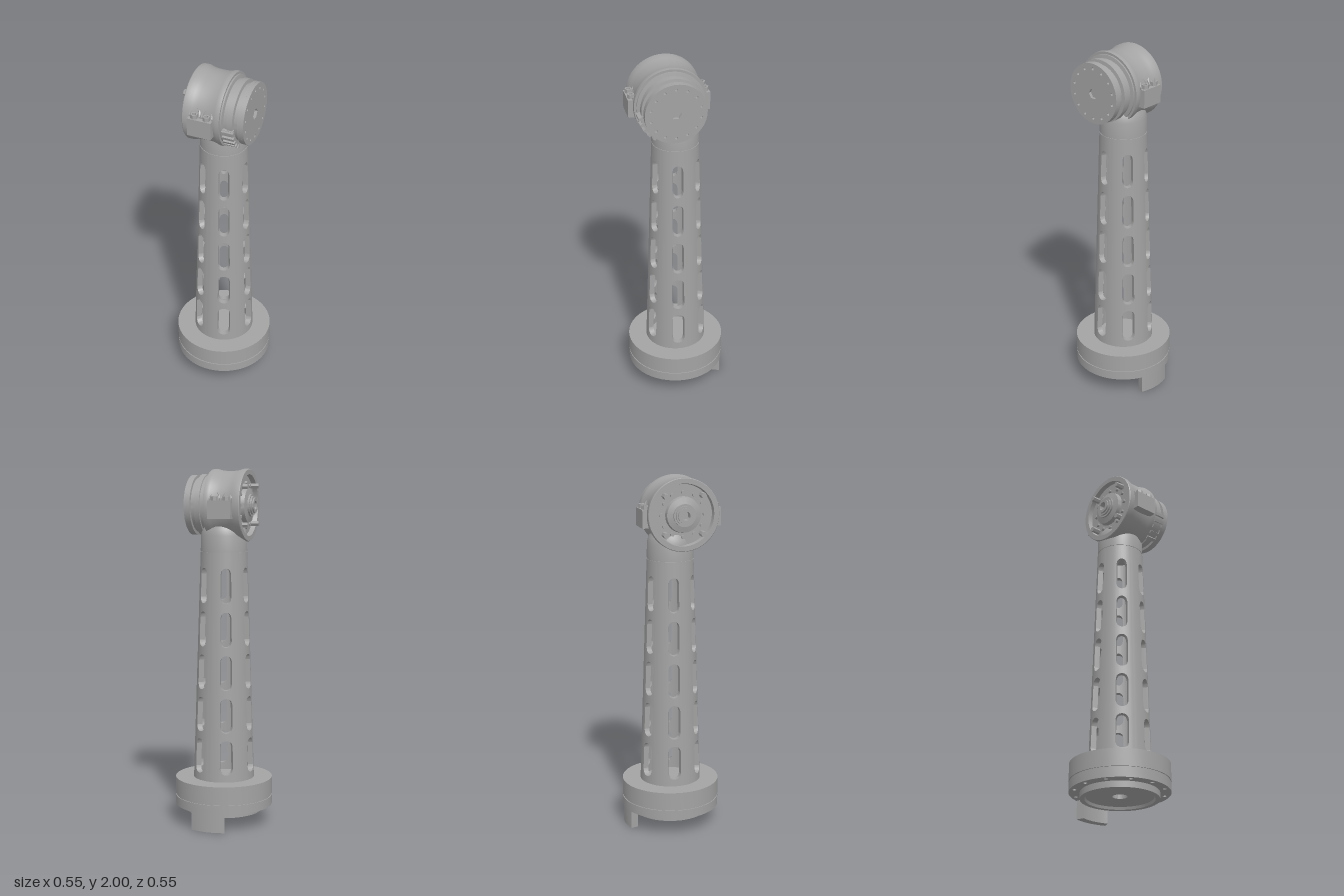
import * as THREE from 'three';
import { mergeGeometries, toCreasedNormals } from 'three/addons/utils/BufferGeometryUtils.js';

const grey = new THREE.MeshStandardMaterial({ name: 'castGrey', color: 0xa3a3a3 });

function add(parent, name, geo, x = 0, y = 0, z = 0) {
  const mesh = new THREE.Mesh(geo, grey);
  mesh.name = name;
  mesh.position.set(x, y, z);
  parent.add(mesh);
  return mesh;
}

// Turned part from [radius, height] pairs, with sharp steps
function turned(points, sides = 64) {
  const lathe = new THREE.LatheGeometry(points.map(p => new THREE.Vector2(p[0], p[1])), sides);
  return toCreasedNormals(lathe, 0.5);
}

// Curved block around y; lo/hi give its edges at angle a, outer/inner its radii at height y
function sector(a0, a1, n, lo, hi, outer, inner) {
  const rings = [], pos = [];
  for (let k = 0; k <= n; k++) {
    const a = a0 + (a1 - a0) * k / n, l = lo(a), h = hi(a);
    rings.push([[outer(l), l], [outer(h), h], [inner(h), h], [inner(l), l]]
      .map(([r, y]) => [r * Math.cos(a), y, r * Math.sin(a)]));
  }
  const quad = (a, b, c, d) => pos.push(...a, ...b, ...c, ...a, ...c, ...d);
  for (let k = 0; k < n; k++) {
    for (let i = 0; i < 4; i++) {
      const j = (i + 1) % 4;
      quad(rings[k][i], rings[k][j], rings[k + 1][j], rings[k + 1][i]);
    }
  }
  const [s, e] = [rings[0], rings[n]];
  quad(s[0], s[3], s[2], s[1]);
  quad(e[0], e[1], e[2], e[3]);
  const geo = new THREE.BufferGeometry();
  geo.setAttribute('position', new THREE.Float32BufferAttribute(pos, 3));
  return geo;
}

// Tapered tube with six columns of five rounded slots
function slottedTube() {
  const bottom = 0.25, top = 1.545, wall = 0.03, half = 0.22, endR = 0.033;
  const outer = y => 0.172 - 0.042 * (y - bottom) / (top - bottom);
  const inner = y => outer(y) - wall;
  const centres = [0.4, 0.637, 0.877, 1.118, 1.36];
  const parts = [];
  for (let i = 0; i < 6; i++) {
    const mid = (i * 60 - 6) * Math.PI / 180;
    const reach = a => 0.0645 + endR * Math.sqrt(Math.max(0, 1 - ((a - mid) / half) ** 2));
    parts.push(sector(mid + half, mid + Math.PI / 3 - half, 8, () => bottom, () => top, outer, inner));
    for (let j = 0; j <= 5; j++) {
      const lo = a => j === 0 ? bottom : centres[j - 1] + reach(a);
      const hi = a => j === 5 ? top : centres[j] - reach(a);
      parts.push(sector(mid - half, mid + half, 14, lo, hi, outer, inner));
    }
  }
  return toCreasedNormals(mergeGeometries(parts), 0.5);
}

// Disc with a ring of holes and a centre hole, thickness along +z
function drilledDisc(r, depth, count, ringR, holeR, centreR, centreSides) {
  const shape = new THREE.Shape().absarc(0, 0, r, 0, Math.PI * 2);
  for (let i = 0; i < count; i++) {
    const a = (i + 0.5) / count * Math.PI * 2;
    shape.holes.push(new THREE.Path().absarc(ringR * Math.cos(a), ringR * Math.sin(a), holeR, 0, Math.PI * 2, true));
  }
  const pts = [];
  for (let i = 0; i < centreSides; i++) {
    const a = -i / centreSides * Math.PI * 2;
    pts.push(new THREE.Vector2(centreR * Math.cos(a), centreR * Math.sin(a)));
  }
  shape.holes.push(new THREE.Path(pts));
  const geo = new THREE.ExtrudeGeometry(shape, { depth, bevelEnabled: false, curveSegments: 32 });
  return toCreasedNormals(geo, 0.5);
}

function buildBase(root) {
  const base = new THREE.Group();
  base.name = 'base';
  root.add(base);
  add(base, 'baseDisc', turned([
    [0, 0.12], [0.27, 0.12], [0.27, 0.165], [0.275, 0.165], [0.275, 0.262], [0, 0.262],
  ], 96));
  // lower flange, drilled from below
  add(base, 'lowerFlange', drilledDisc(0.275, 0.052, 12, 0.247, 0.011, 0.15, 48)
    .rotateX(Math.PI / 2), 0, 0.157, 0);
  // mounting ring with a recessed floor and centre bore
  add(base, 'mountingRing', turned([
    [0.04, 0.15], [0.04, 0.085], [0.185, 0.085], [0.19, 0.07], [0.215, 0.07], [0.215, 0.11],
  ], 96));
  const key = sector(-2.13, -1.385, 12, () => 0, () => 0.11, () => 0.27, () => 0.225);
  add(base, 'locatingKey', toCreasedNormals(key, 0.5));
}

function buildHead(root) {
  const head = new THREE.Group();
  head.name = 'jointHead';
  head.position.set(0, 1.8, 0.041);
  head.rotation.y = 0.232;
  root.add(head);
  const alongX = geo => geo.rotateZ(-Math.PI / 2);

  // waisted drum, dished on the motor side
  add(head, 'drum', alongX(turned([
    [0, -0.1], [0.165, -0.1], [0.17, -0.126], [0.197, -0.126], [0.2, -0.122], [0.2, -0.095],
    [0.193, -0.075], [0.189, -0.045], [0.188, -0.01], [0.19, 0.025], [0.197, 0.05],
    [0.2, 0.062], [0.198, 0.08], [0, 0.08],
  ], 96)));
  // stepped neck with a groove, behind the output flange
  add(head, 'neck', alongX(turned([
    [0.185, 0.075], [0.185, 0.088], [0.165, 0.092], [0.165, 0.11], [0.172, 0.112],
    [0.172, 0.142], [0.152, 0.145], [0.152, 0.166], [0.167, 0.168], [0.167, 0.186], [0, 0.186],
  ], 96)));
  add(head, 'outputFlange', drilledDisc(0.167, 0.018, 14, 0.138, 0.0075, 0.03, 6)
    .rotateY(Math.PI / 2), 0.184, 0, 0);

  // motor boss and fixings inside the dish
  add(head, 'motorBoss', alongX(turned([
    [0, -0.12], [0.024, -0.12], [0.024, -0.162], [0.042, -0.162], [0.042, -0.153], [0.052, -0.153],
    [0.052, -0.143], [0.062, -0.143], [0.062, -0.133], [0.095, -0.125], [0.1, -0.095],
  ])));
  for (let i = 0; i < 4; i++) {
    const a = Math.PI / 4 + i * Math.PI / 2;
    const post = new THREE.CylinderGeometry(0.016, 0.016, 0.055, 6).toNonIndexed();
    add(head, 'motorPost', alongX(toCreasedNormals(post, 0.5)), -0.123, 0.148 * Math.sin(a), 0.148 * Math.cos(a));
  }
  for (let i = 0; i < 12; i++) {
    const a = i / 12 * Math.PI * 2;
    add(head, 'dishScrew', alongX(turned([
      [0, 0], [0.005, 0], [0.005, -0.008], [0.01, -0.008], [0.01, 0.014], [0, 0.014],
    ].map(([r, y]) => [r, -y]).reverse(), 16)), -0.1, 0.122 * Math.sin(a), 0.122 * Math.cos(a));
  }

  // clamp ears with two bolts on each side
  for (const side of [-1, 1]) {
    const ear = new THREE.Group();
    ear.name = side > 0 ? 'frontClampEar' : 'rearClampEar';
    ear.position.x = -0.02;
    head.add(ear);
    add(ear, 'earBlock', new THREE.BoxGeometry(0.132, 0.1, 0.075), 0, -0.02, side * 0.185);
    for (const x of [-0.034, 0.034]) {
      add(ear, 'boltHead', turned([
        [0.02, 0.03], [0.02, 0.052], [0.011, 0.052], [0.011, 0.04], [0, 0.04],
      ], 6), x, 0, side * 0.2);
      // scalloped pocket walls beside and behind each bolt
      const hood = sector(0, Math.PI, 12, () => 0.025, a => 0.04 + 0.035 * Math.sin(a), () => 0.032, () => 0.025);
      hood.rotateY(side > 0 ? Math.PI : 0);
      add(ear, 'boltPocket', toCreasedNormals(hood, 0.5), x, 0, side * 0.198);
    }
  }

  // ribbed stop bracket hugging the lower front of the neck
  const shell = sector(0.5, 1.45, 14, () => 0.085, () => 0.15, () => 0.18, () => 0.16);
  add(head, 'stopBracket', toCreasedNormals(alongX(shell), 0.5));
  for (let i = 0; i < 5; i++) {
    const a = 0.55 + i * 0.2;
    const rib = sector(a, a + 0.09, 2, () => 0.09, () => 0.155, () => 0.193, () => 0.175);
    add(head, 'bracketRib', toCreasedNormals(alongX(rib), 0.5));
  }
}

export function createModel() {
  const root = new THREE.Group();
  root.name = 'jointedArmLink';
  buildBase(root);
  add(root, 'slottedColumn', slottedTube());
  // collar that carries the head, with a fine seam under it
  add(root, 'columnCollar', turned([
    [0, 1.54], [0.127, 1.54], [0.127, 1.55], [0.13, 1.55], [0.128, 1.635], [0.12, 1.67], [0.095, 1.72], [0, 1.72],
  ]));
  buildHead(root);
  return root;
}
